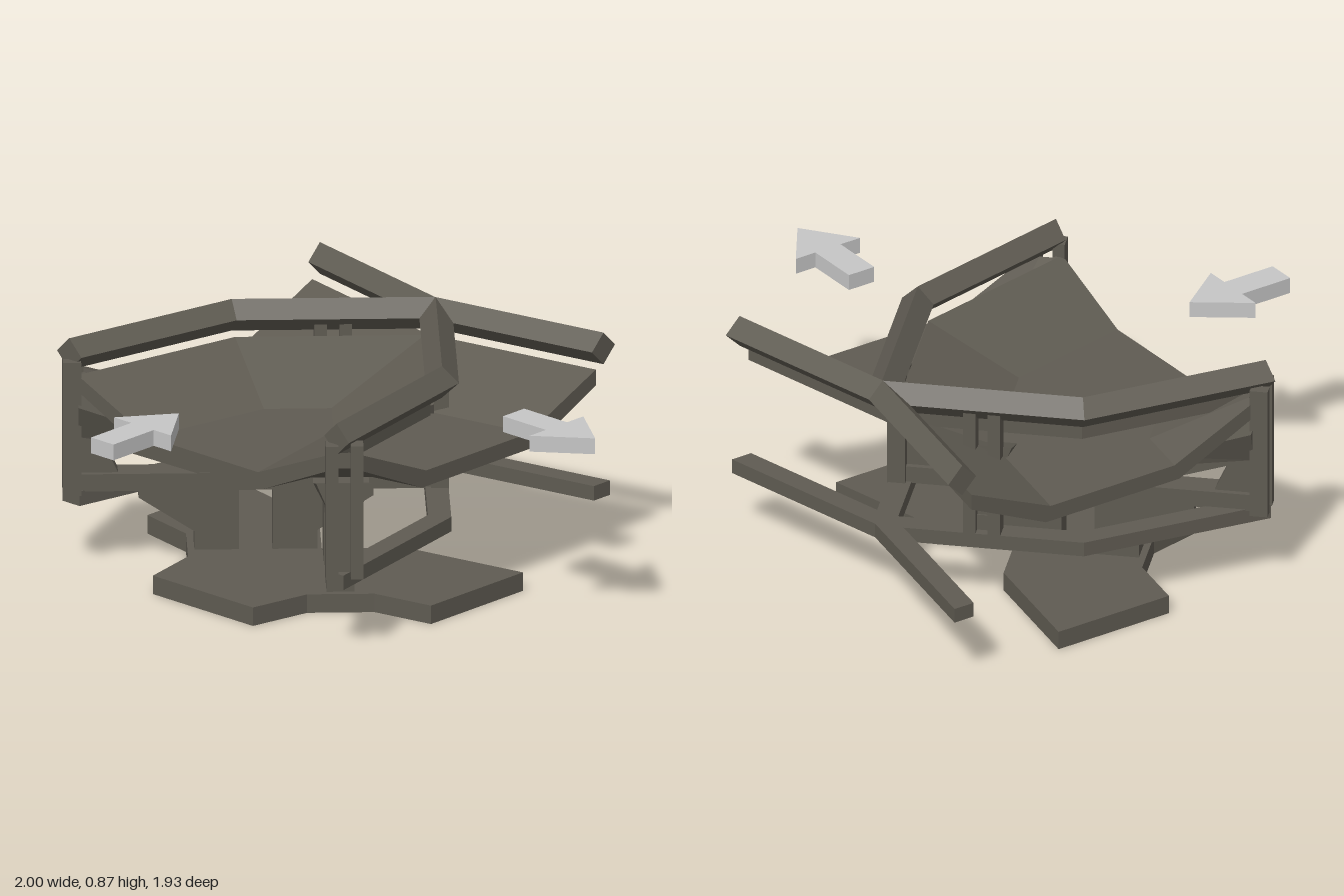
import * as THREE from 'three';

// Pivot of the right-hand bend; the left-hand bend is its mirror about x = MID
const PX = 0.43, PZ = 0.44, MID = -0.265;
const K = 1 / Math.cos(Math.PI / 12);
const STATIONS = [[0, 1], [30, K], [60, K], [90, 1]];

// Sweep a counter-clockwise (radius, height) profile round the quarter bend
function sweep(profile) {
  const pos = [];
  const at = ([r, y], [deg, k]) => {
    const a = THREE.MathUtils.degToRad(deg);
    return [PX - r * k * Math.cos(a), y, PZ - r * k * Math.sin(a)];
  };
  const n = profile.length;
  for (let s = 0; s < 3; s++) {
    for (let i = 0; i < n; i++) {
      const p = profile[i], q = profile[(i + 1) % n];
      const a = at(p, STATIONS[s]), b = at(q, STATIONS[s]);
      const c = at(q, STATIONS[s + 1]), d = at(p, STATIONS[s + 1]);
      pos.push(...a, ...b, ...c, ...a, ...c, ...d);
    }
  }
  const tris = THREE.ShapeUtils.triangulateShape(profile.map(p => new THREE.Vector2(...p)), []);
  for (const [a, b, c] of tris) {
    for (const i of [a, c, b]) pos.push(...at(profile[i], STATIONS[0]));
    for (const i of [a, b, c]) pos.push(...at(profile[i], STATIONS[3]));
  }
  const g = new THREE.BufferGeometry();
  g.setAttribute('position', new THREE.Float32BufferAttribute(pos, 3));
  g.computeVertexNormals();
  return g;
}

// Plate in the radial plane at the middle of the bend
const h = Math.SQRT1_2;
const RADIAL = new THREE.Matrix4().makeBasis(
  new THREE.Vector3(-h, 0, -h), new THREE.Vector3(0, 1, 0), new THREE.Vector3(h, 0, -h)
).setPosition(PX, 0, PZ);

function radial(profile, thickness, offset = 0, narrow = []) {
  const shape = new THREE.Shape(profile.map(p => new THREE.Vector2(...p)));
  const g = new THREE.ExtrudeGeometry(shape, { depth: thickness, bevelEnabled: false });
  g.translate(0, 0, -thickness / 2);
  // Taper the listed points towards the middle plane
  const v = g.attributes.position;
  for (let i = 0; i < v.count; i++) {
    if (narrow.some(p => Math.hypot(p[0] - v.getX(i), p[1] - v.getY(i)) < 1e-4)) v.setZ(i, v.getZ(i) * 0.45);
  }
  g.translate(0, 0, offset);
  g.applyMatrix4(RADIAL);
  g.computeVertexNormals();
  return g;
}

function mirrored(geometry) {
  const g = geometry.index ? geometry.toNonIndexed() : geometry.clone();
  const v = g.attributes.position;
  for (let i = 0; i < v.count; i += 3) {
    const t = [0, 2, 1].map(j => [2 * MID - v.getX(i + j), v.getY(i + j), v.getZ(i + j)]);
    t.forEach((p, j) => v.setXYZ(i + j, ...p));
  }
  g.computeVertexNormals();
  return g;
}

const rect = (r0, r1, y0, y1) => [[r0, y0], [r1, y0], [r1, y1], [r0, y1]];

export function createModel() {
  const model = new THREE.Group();
  model.name = 'chuteJunction';
  const metal = new THREE.MeshStandardMaterial({ color: 0x5f5b52, flatShading: true });
  metal.name = 'darkMetal';
  const pale = new THREE.MeshStandardMaterial({ color: 0xc6c6c6, flatShading: true });
  pale.name = 'paleGrey';

  const bends = ['right', 'left'].map(side => {
    const g = new THREE.Group();
    g.name = side + 'Bend';
    model.add(g);
    return g;
  });
  const add = (name, geometry) => {
    [geometry, mirrored(geometry)].forEach((g, i) => {
      const m = new THREE.Mesh(g, metal);
      m.name = name;
      bends[i].add(m);
    });
  };

  // Curved parts
  add('basePlate', sweep(rect(0.45, 0.93, 0, 0.07)));
  add('lowerRail', sweep(rect(1.30, 1.383, 0.245, 0.3)));
  add('upperRail', sweep([[1.35, 0.75], [1.41, 0.81], [1.35, 0.87], [1.29, 0.81]]));
  add('trough', sweep([
    [0.08, 0.68], [0.405, 0.53], [0.985, 0.53], [1.31, 0.68],
    [1.31, 0.74], [0.965, 0.59], [0.425, 0.59], [0.08, 0.74]
  ]));

  // Cradle under the trough, narrower along its lower edge
  const under = [[0.06, 0.5], [0.48, 0.36], [0.92, 0.36], [1.33, 0.5]];
  add('cradle', radial([...under, [1.33, 0.63], [0.99, 0.51], [0.4, 0.51], [0.06, 0.63]], 0.2, 0, under));
  add('crossBeam', radial(rect(0.06, 1.35, 0.295, 0.36), 0.1));

  // Legs, posts and gussets, paired about the middle of the trough
  const C = 0.695;
  for (const s of [-1, 1]) {
    const place = pts => {
      const p = pts.map(([d, y]) => [C + s * d, y]);
      return s < 0 ? p.reverse() : p;
    };
    add('leg', radial(place([
      [0.06, 0.05], [0.22, 0.05], [0.22, 0.14], [0.42, 0.27], [0.42, 0.36], [0.06, 0.36]
    ]), 0.1));
    add('gusset', radial(place([
      [0.46, 0.29], [0.65, 0.29], [0.65, 0.62], [0.6, 0.6], [0.52, 0.42]
    ]), 0.06));
    for (const t of [-0.045, 0.045]) {
      add('post', radial(place(rect(0.625, 0.69, 0.285, 0.79)), 0.045, t));
    }
  }

  // Flow arrows
  const arrowShape = new THREE.Shape([
    [-0.055, -0.2], [0.055, -0.2], [0.055, 0.01], [0.14, 0.01], [0, 0.2], [-0.14, 0.01], [-0.055, 0.01]
  ].map(p => new THREE.Vector2(...p)));
  const arrowGeometry = new THREE.ExtrudeGeometry(arrowShape, { depth: 0.06, bevelEnabled: false });
  arrowGeometry.rotateX(-Math.PI / 2);
  for (const [name, x, z, turn] of [['inletArrow', MID, 0.765, 0], ['outletArrow', 0.8, -0.26, -Math.PI / 2]]) {
    const arrow = new THREE.Mesh(arrowGeometry, pale);
    arrow.name = name;
    arrow.position.set(x, 0.72, z);
    arrow.rotation.y = turn;
    model.add(arrow);
  }
  return model;
}
